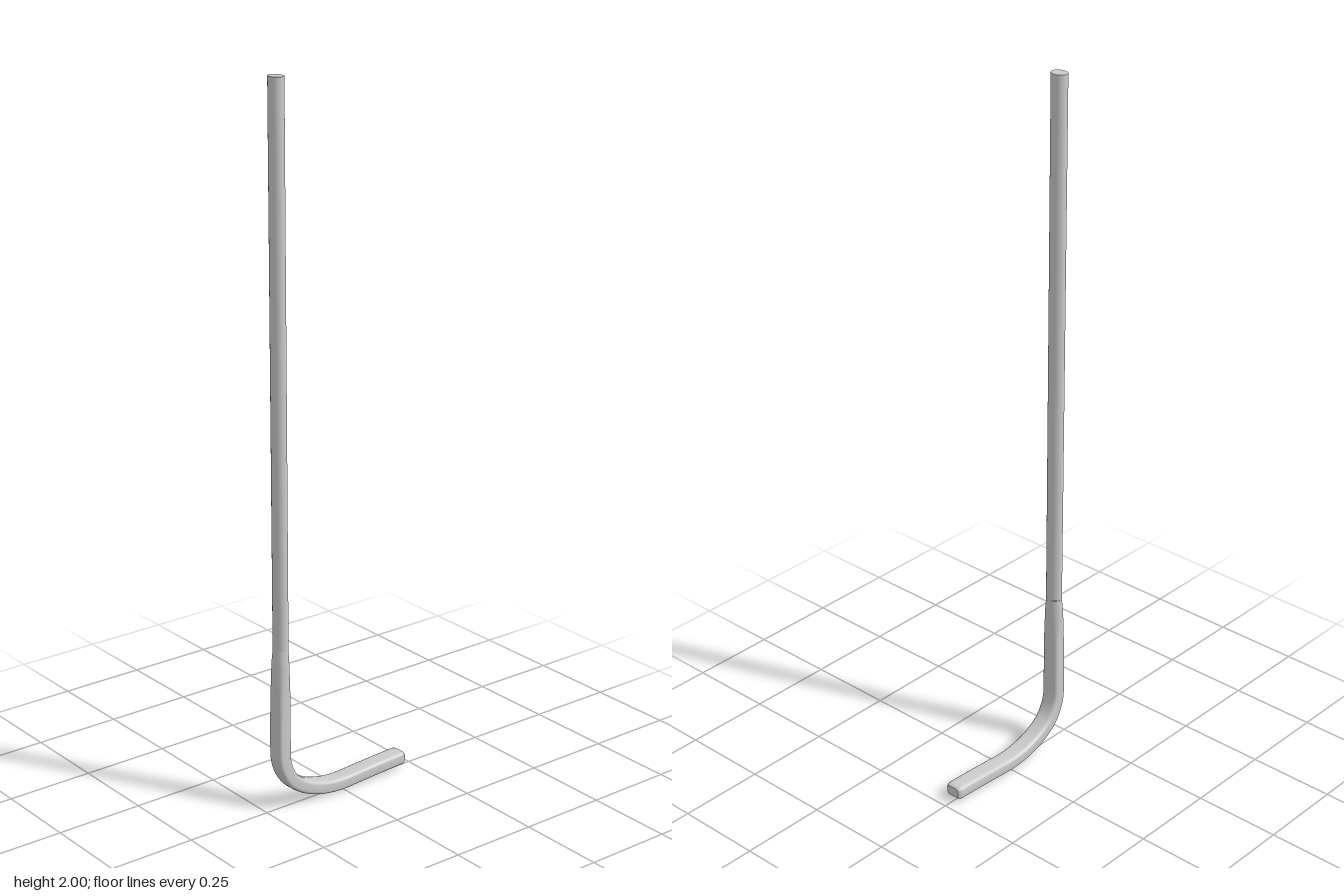
import * as THREE from 'three';

const SIDES = 32;

// Superellipse ring in the plane of the bend: a = half width across the bend, b = half depth in z
function ring(c, tangent, a, b, power) {
  const points = [];
  for (let i = 0; i < SIDES; i++) {
    const t = (i / SIDES) * Math.PI * 2;
    const bend = (v) => Math.sign(v) * Math.pow(Math.abs(v), 2 / power);
    const u = a * bend(Math.cos(t));
    points.push(new THREE.Vector3(c.x - tangent.y * u, c.y + tangent.x * u, b * bend(Math.sin(t))));
  }
  return points;
}

// Smooth skin over a list of rings
function loft(rings) {
  const position = rings.flat().flatMap((p) => [p.x, p.y, p.z]);
  const index = [];
  for (let r = 0; r < rings.length - 1; r++) {
    for (let i = 0; i < SIDES; i++) {
      const j = (i + 1) % SIDES;
      const a = r * SIDES + i, b = r * SIDES + j;
      index.push(a, a + SIDES, b, b, a + SIDES, b + SIDES);
    }
  }
  return finish(position, index);
}

// Flat lid over one ring
function lid(points, flip) {
  const index = [];
  for (let i = 1; i < SIDES - 1; i++) index.push(0, flip ? i + 1 : i, flip ? i : i + 1);
  return finish(points.flatMap((p) => [p.x, p.y, p.z]), index);
}

function finish(position, index) {
  const g = new THREE.BufferGeometry();
  g.setAttribute('position', new THREE.Float32BufferAttribute(position, 3));
  g.setIndex(index);
  g.computeVertexNormals();
  return g;
}

export function createModel() {
  const group = new THREE.Group();
  group.name = 'hookedStick';
  const material = new THREE.MeshStandardMaterial({ color: 0xcccccc, side: THREE.DoubleSide });
  const add = (name, geometry) => {
    const mesh = new THREE.Mesh(geometry, material);
    mesh.name = name;
    group.add(mesh);
  };
  const down = new THREE.Vector3(0, -1, 0);
  const at = (x, y) => new THREE.Vector3(x, y, 0);

  // Long oval shaft
  const shaft = [2, 1.5, 1, 0.47].map((y) => ring(at(-0.199, y), down, 0.0195, 0.024, 2));
  add('shaft', loft(shaft));
  add('shaftEnd', lid(shaft[0], true));

  // Lower shaft, bend and toe, squarer in section
  const path = new THREE.CatmullRomCurve3([
    at(-0.199, 0.47), at(-0.2, 0.43), at(-0.201, 0.3), at(-0.202, 0.2), at(-0.199, 0.135),
    at(-0.175, 0.083), at(-0.133, 0.05), at(-0.075, 0.028), at(-0.01, 0.0195),
    at(0.06, 0.023), at(0.14, 0.028), at(0.208, 0.031),
  ], false, 'centripetal');
  const hook = [];
  const steps = 60;
  for (let i = 0; i <= steps; i++) {
    const s = i / steps;
    const p = path.getPointAt(s);
    const grow = THREE.MathUtils.smoothstep(s, 0, 0.06);
    const square = THREE.MathUtils.smoothstep(s, 0, 0.3);
    const thin = THREE.MathUtils.smoothstep(s, 0.4, 0.7);
    hook.push(ring(p, path.getTangentAt(s), 0.0195 + 0.001 * grow - 0.0015 * thin,
      0.024 + 0.003 * grow, 2 + 2.2 * square));
  }
  add('hook', loft(hook));

  // Rounded-over toe tip
  const dir = path.getTangentAt(1);
  const tip = [[0, 0.019, 0.027], [0.006, 0.0175, 0.025], [0.011, 0.014, 0.02]].map(
    ([d, a, b]) => ring(path.getPointAt(1).addScaledVector(dir, d), dir, a, b, 4.2));
  add('toeTip', loft(tip));
  add('toeEnd', lid(tip[2], false));

  return group;
}
